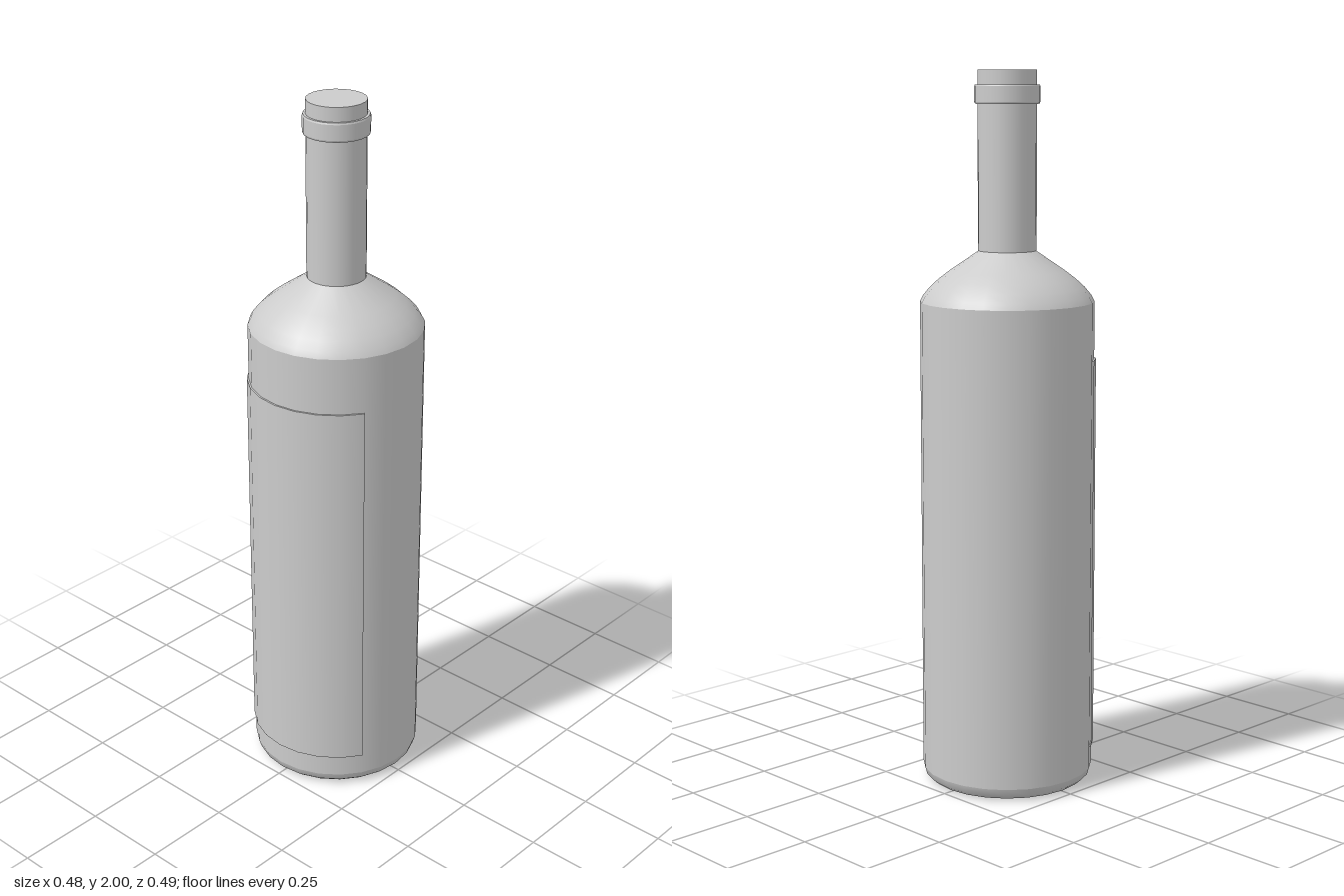
import * as THREE from 'three';

const SIDES = 24;

// Revolve a bottom-to-top profile of [radius, height]; a repeated point makes a sharp edge.
function lathe(name, profile, segments = SIDES, start = 0, sweep = Math.PI * 2, side = THREE.FrontSide) {
  const points = profile.map(([r, y]) => new THREE.Vector2(r, y));
  const mesh = new THREE.Mesh(
    new THREE.LatheGeometry(points, segments, start, sweep),
    new THREE.MeshStandardMaterial({ color: 0xcccccc, side })
  );
  mesh.name = name;
  return mesh;
}

export function createModel() {
  const group = new THREE.Group();
  group.name = 'bottle';

  // Glass body: shallow hollow base, rounded heel, straight wall, curved shoulder
  group.add(lathe('body', [
    [0, 0.015], [0.12, 0.008], [0.2, 0], [0.222, 0.004], [0.236, 0.016], [0.242, 0.036],
    [0.242, 0.036], [0.242, 1.37], [0.242, 1.37],
    [0.233, 1.387], [0.214, 1.41], [0.19, 1.432], [0.16, 1.455], [0.076, 1.512],
  ]));

  // Capsule sleeve around the neck, closed at the top
  group.add(lathe('neckCapsule', [
    [0.07, 1.51], [0.081, 1.51], [0.081, 1.51], [0.081, 2], [0.081, 2], [0, 2],
  ]));

  // Raised collar just below the mouth
  group.add(lathe('collar', [
    [0.08, 1.909], [0.088, 1.909], [0.088, 1.909], [0.09, 1.914], [0.09, 1.914],
    [0.09, 1.956], [0.09, 1.956], [0.088, 1.961], [0.088, 1.961], [0.08, 1.961],
  ]));

  // Front label wrapped over a third of the body
  group.add(lathe('label', [
    [0.241, 0.1], [0.247, 0.1], [0.247, 0.1], [0.247, 1.21], [0.247, 1.21], [0.241, 1.21],
  ], SIDES / 3, -Math.PI / 3, Math.PI * 2 / 3, THREE.DoubleSide));

  // Balance the label thickness about z = 0
  for (const part of group.children) part.position.z = -0.0025;
  return group;
}
